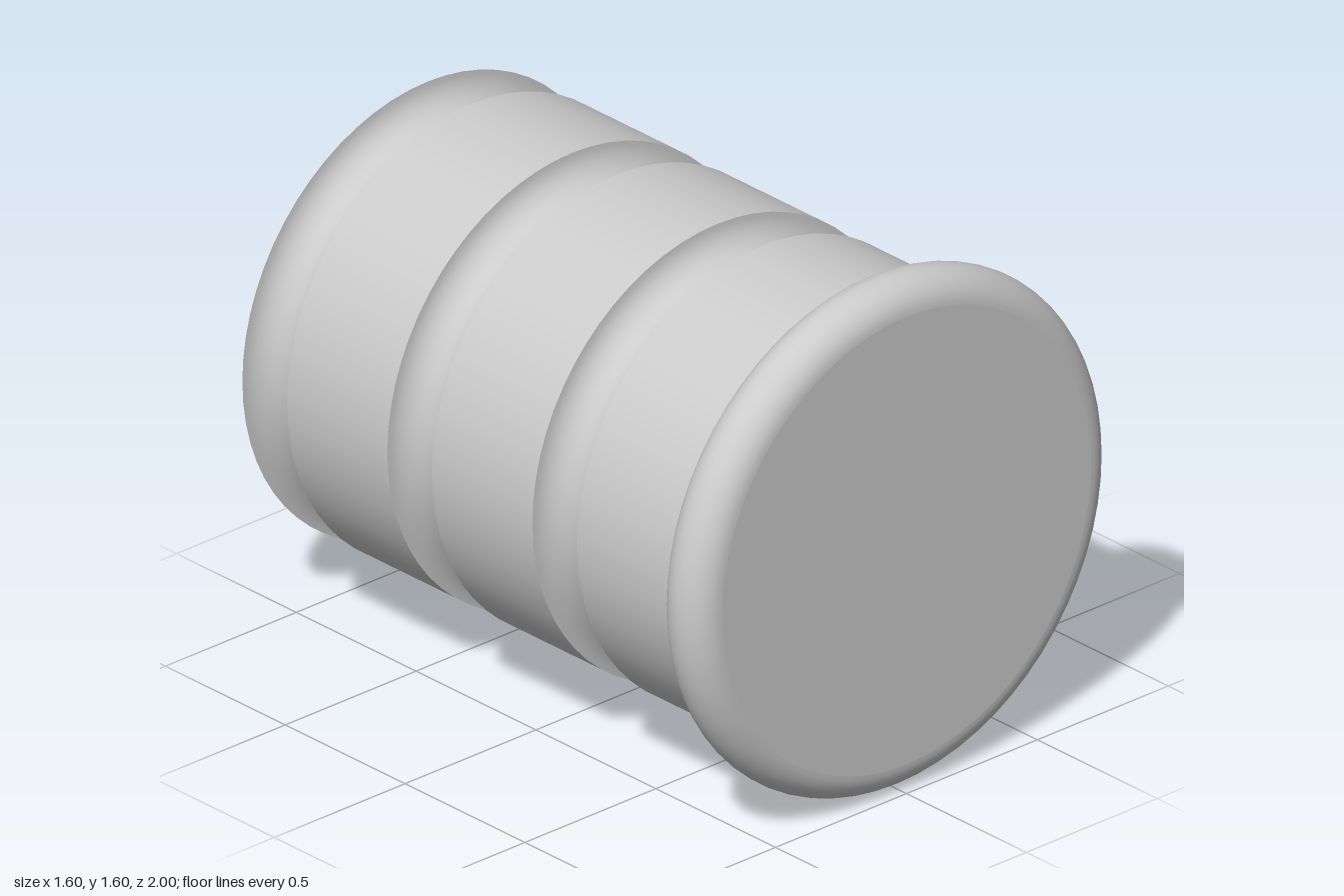
import * as THREE from 'three';

const SIDES = 64;
const BODY = 0.705;   // radius of the plain bands
const ROUND = 0.093;  // radius of the grooves and of the rim bead
const PITCH = 0.605;  // distance from one groove to the next
const RIM = 0.907;    // rim centre along the axis

export function createModel() {
  const group = new THREE.Group();
  group.name = 'groovedPlug';
  const material = new THREE.MeshStandardMaterial({ color: 0xcccccc });

  const add = (name, geometry) => {
    const mesh = new THREE.Mesh(geometry, material);
    mesh.name = name;
    group.add(mesh);
    return mesh;
  };

  // Turned section: [radius, position] pairs, from back to front along z
  const turned = (name, points) => {
    const profile = points.map(([r, z]) => new THREE.Vector2(r, z));
    return add(name, new THREE.LatheGeometry(profile, SIDES).rotateX(Math.PI / 2));
  };

  // Half circle around the body radius: bulge +1 is a bead, -1 a groove
  const halfRound = (z, bulge, steps = 20) =>
    Array.from({ length: steps + 1 }, (_, i) => {
      const a = -Math.PI / 2 + (Math.PI * i) / steps;
      return [BODY + bulge * ROUND * Math.cos(a), z + ROUND * Math.sin(a)];
    });

  // Three grooves, each followed by a plain band
  for (let i = 0; i < 3; i++) {
    const z = RIM - PITCH * (3 - i);
    turned('groove' + (i + 1), halfRound(z, -1));
    turned('band' + (i + 1), [[BODY, z + ROUND], [BODY, z + PITCH - ROUND]]);
  }

  // Rounded rim at the front
  turned('rim', halfRound(RIM, 1));

  // Flat end faces
  add('frontFace', new THREE.CircleGeometry(BODY, SIDES)).position.z = RIM + ROUND;
  add('backFace', new THREE.CircleGeometry(BODY, SIDES).rotateY(Math.PI)).position.z =
    RIM - 3 * PITCH - ROUND;

  group.position.y = BODY + ROUND;
  return group;
}
